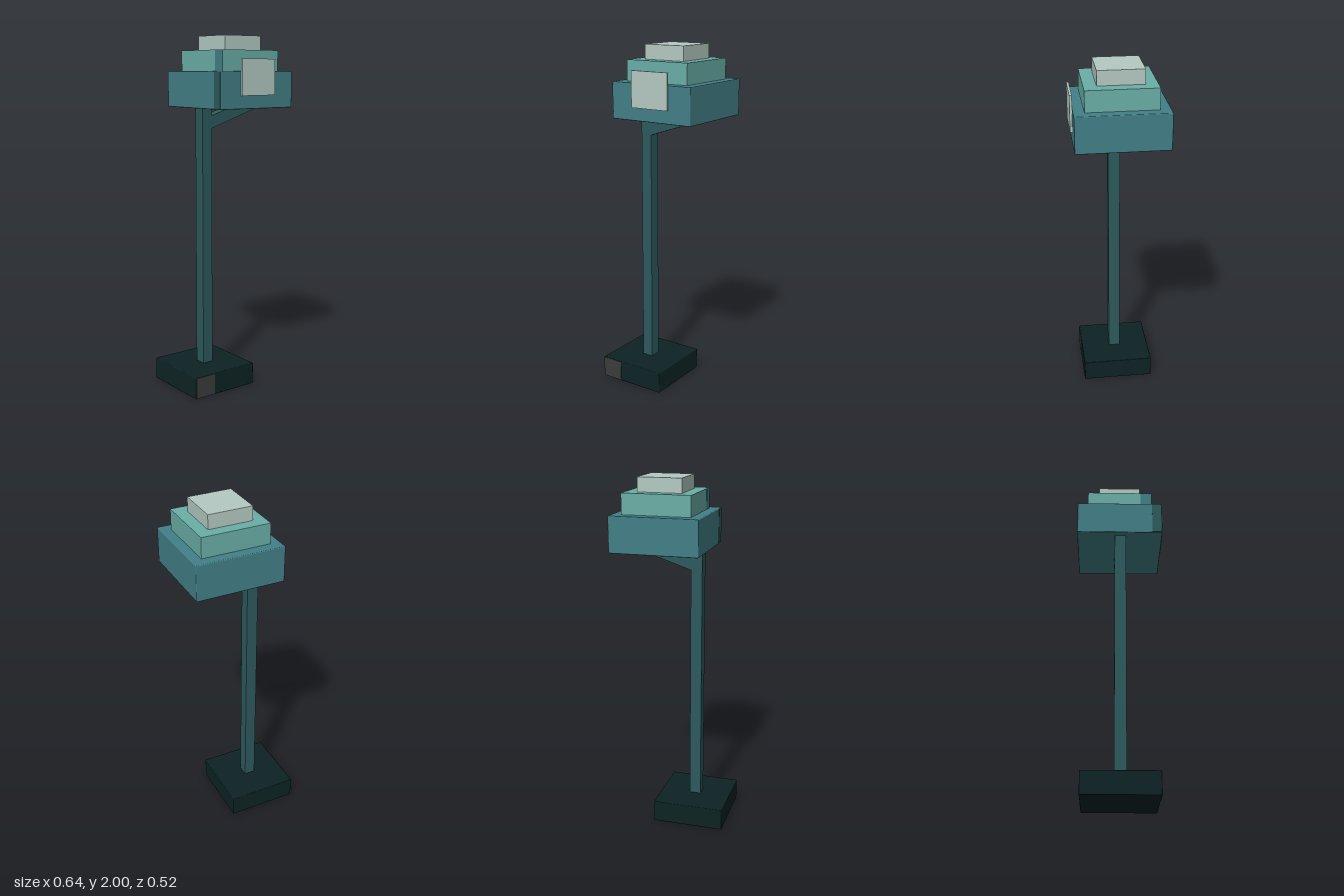
import * as THREE from 'three';
import { RoundedBoxGeometry } from 'three/addons/geometries/RoundedBoxGeometry.js';

const material = (name, color) => {
  const m = new THREE.MeshStandardMaterial({ color });
  m.name = name;
  return m;
};

export function createModel() {
  const black = material('darkGreenBlack', 0x0d2324);
  const grey = material('charcoal', 0x393d3c);
  const deep = material('deepTeal', 0x2d5a5d);
  const teal = material('teal', 0x428087);
  const mint = material('mint', 0x6aafa7);
  const pale = material('paleGrey', 0xb4cac2);

  const model = new THREE.Group();
  model.name = 'streetLamp';

  // Box between two opposite corners, with an optional softened edge
  const box = (name, mat, [x0, y0, z0], [x1, y1, z1], bevel = 0) => {
    const size = [x1 - x0, y1 - y0, z1 - z0];
    const geometry = bevel
      ? new RoundedBoxGeometry(...size, 2, bevel)
      : new THREE.BoxGeometry(...size);
    const mesh = new THREE.Mesh(geometry, mat);
    mesh.name = name;
    mesh.position.set((x0 + x1) / 2, (y0 + y1) / 2, (z0 + z1) / 2);
    model.add(mesh);
  };

  // Foot and post
  box('base', black, [-0.32, 0, -0.213], [0.089, 0.125, 0.2], 0.005);
  box('basePatch', grey, [-0.317, 0.003, 0.196], [-0.19, 0.122, 0.202]);
  box('post', deep, [-0.147, 0.12, -0.037], [-0.082, 1.61, 0.03]);

  // Sloping brace from the post up into the head
  const profile = new THREE.Shape([
    [-0.1, 1.484], [0.243, 1.597], [0.235, 1.62], [0.1, 1.62], [-0.1, 1.555],
  ].map(([x, y]) => new THREE.Vector2(x, y)));
  const brace = new THREE.Mesh(
    new THREE.ExtrudeGeometry(profile, { depth: 0.066, bevelEnabled: false }), deep);
  brace.name = 'brace';
  brace.position.z = -0.0365;
  model.add(brace);

  // Stepped lamp head
  box('headLower', teal, [-0.183, 1.603, -0.26], [0.319, 1.805, 0.245], 0.005);
  box('headMiddle', mint, [-0.126, 1.8, -0.2], [0.262, 1.92, 0.187]);
  box('headCap', pale, [-0.057, 1.915, -0.133], [0.193, 2, 0.118]);

  // Dark strips on the post side of the head
  box('lowerStrip', deep, [-0.185, 1.607, 0.186], [-0.18, 1.801, 0.241]);
  box('middleStrip', teal, [-0.128, 1.806, 0.12], [-0.124, 1.918, 0.186]);

  // Front panel
  box('frontPanel', pale, [-0.047, 1.675, 0.244], [0.183, 1.872, 0.257]);

  return model;
}
